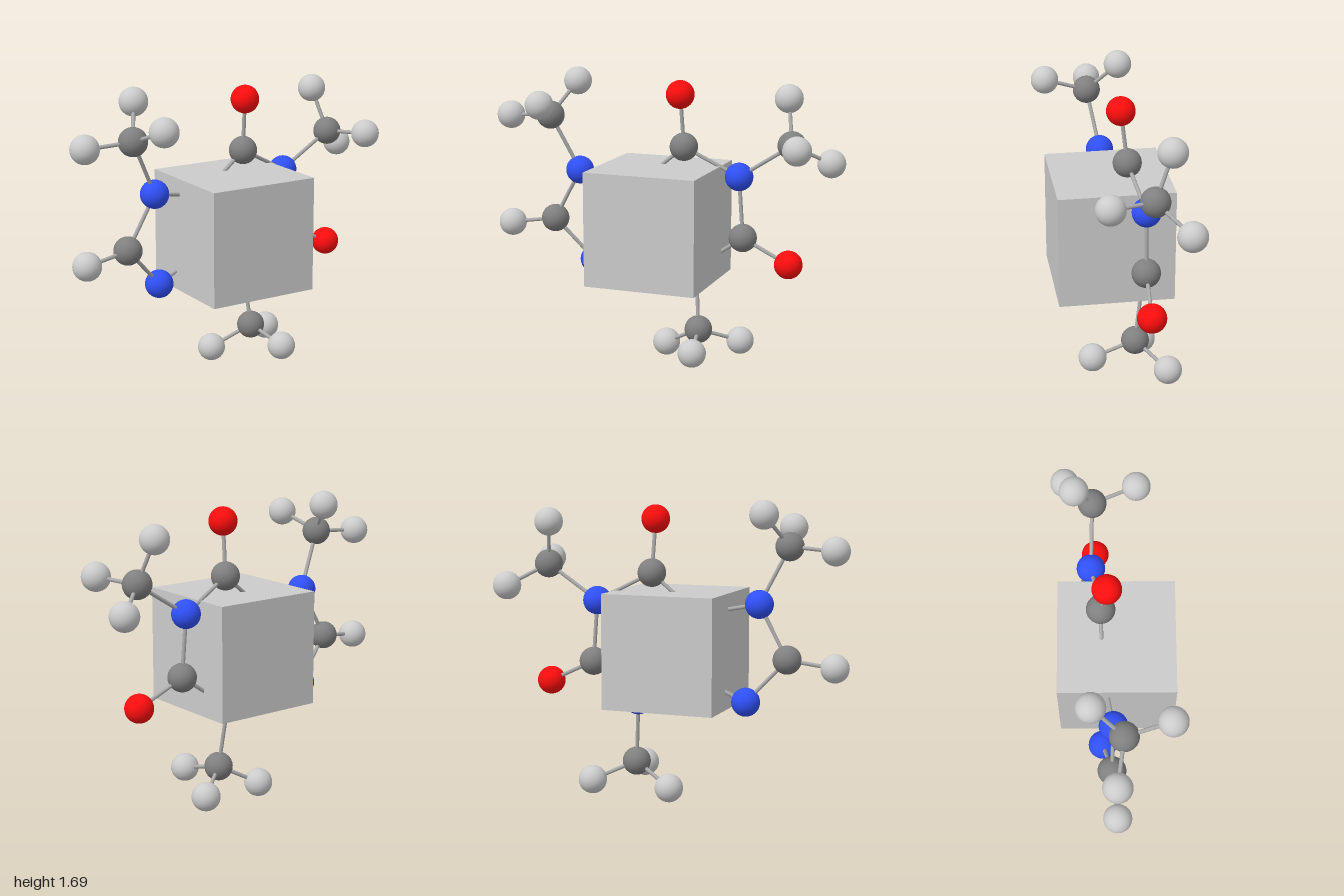
import * as THREE from 'three';

const ATOM_RADIUS = 0.08;
const BOND_RADIUS = 0.011;

// Atoms: element, x, y, z
const ATOMS = {
  // two fused rings
  n1: ['nitrogen', 0.425, 1.117, -0.14],
  c2: ['carbon', 0.452, 0.768, -0.137],
  n3: ['nitrogen', 0.165, 0.565, -0.168],
  c4: ['carbon', -0.15, 0.71, -0.11],
  c5: ['carbon', -0.15, 1.055, -0.08],
  c6: ['carbon', 0.115, 1.278, -0.085],
  n7: ['nitrogen', -0.495, 1.117, -0.02],
  c8: ['carbon', -0.66, 0.818, -0.03],
  n9: ['nitrogen', -0.44, 0.578, -0.083],
  // side atoms
  o2: ['oxygen', 0.725, 0.64, -0.122],
  o6: ['oxygen', 0.105, 1.577, -0.05],
  h8: ['hydrogen', -0.922, 0.78, 0],
  // right methyl
  ca: ['carbon', 0.73, 1.315, -0.13],
  ha1: ['hydrogen', 0.682, 1.56, -0.225],
  ha2: ['hydrogen', 0.826, 1.33, 0.115],
  ha3: ['hydrogen', 0.917, 1.198, -0.288],
  // bottom methyl
  cb: ['carbon', 0.195, 0.205, -0.123],
  hb1: ['hydrogen', -0.03, 0.083, -0.2],
  hb2: ['hydrogen', 0.245, 0.142, 0.13],
  hb3: ['hydrogen', 0.4, 0.115, -0.278],
  // left methyl
  cc: ['carbon', -0.65, 1.435, 0.035],
  hc1: ['hydrogen', -0.917, 1.418, 0],
  hc2: ['hydrogen', -0.553, 1.615, -0.135],
  hc3: ['hydrogen', -0.6, 1.525, 0.286],
};

const BONDS = [
  'n1 c2', 'c2 n3', 'n3 c4', 'c4 c5', 'c5 c6', 'c6 n1',
  'c5 n7', 'n7 c8', 'c8 n9', 'n9 c4',
  'c2 o2', 'c6 o6', 'c8 h8',
  'n1 ca', 'ca ha1', 'ca ha2', 'ca ha3',
  'n3 cb', 'cb hb1', 'cb hb2', 'cb hb3',
  'n7 cc', 'cc hc1', 'cc hc2', 'cc hc3',
];

const COLORS = { carbon: 0x808080, hydrogen: 0xcccccc, oxygen: 0xff0d0d, nitrogen: 0x3050f8 };

export function createModel() {
  const model = new THREE.Group();
  model.name = 'molecule';

  const grey = new THREE.MeshStandardMaterial({ color: 0xcccccc });
  const bondMaterial = new THREE.MeshStandardMaterial({ color: 0xaaaaaa });
  const materials = {};
  for (const [element, color] of Object.entries(COLORS)) {
    materials[element] = new THREE.MeshStandardMaterial({ color });
  }

  // Atoms
  const atoms = new THREE.Group();
  atoms.name = 'atoms';
  const sphere = new THREE.SphereGeometry(ATOM_RADIUS, 32, 20);
  const positions = {};
  for (const [key, [element, x, y, z]] of Object.entries(ATOMS)) {
    positions[key] = new THREE.Vector3(x, y, z);
    const atom = new THREE.Mesh(sphere, materials[element]);
    atom.name = element + 'Atom';
    atom.position.copy(positions[key]);
    atoms.add(atom);
  }

  // Bonds: thin rods between atom centres
  const bonds = new THREE.Group();
  bonds.name = 'bonds';
  const rod = new THREE.CylinderGeometry(BOND_RADIUS, BOND_RADIUS, 1, 12);
  const up = new THREE.Vector3(0, 1, 0);
  for (const pair of BONDS) {
    const [a, b] = pair.split(' ').map((key) => positions[key]);
    const axis = b.clone().sub(a);
    const bond = new THREE.Mesh(rod, bondMaterial);
    bond.name = 'bond';
    bond.position.copy(a).lerp(b, 0.5);
    bond.scale.y = axis.length();
    bond.quaternion.setFromUnitVectors(up, axis.normalize());
    bonds.add(bond);
  }

  // Cube around the ring centre
  const cube = new THREE.Mesh(new THREE.BoxGeometry(0.648, 0.648, 0.648), grey);
  cube.name = 'centreCube';
  cube.position.set(-0.002, 0.85, 0);

  model.add(atoms, bonds, cube);
  return model;
}
